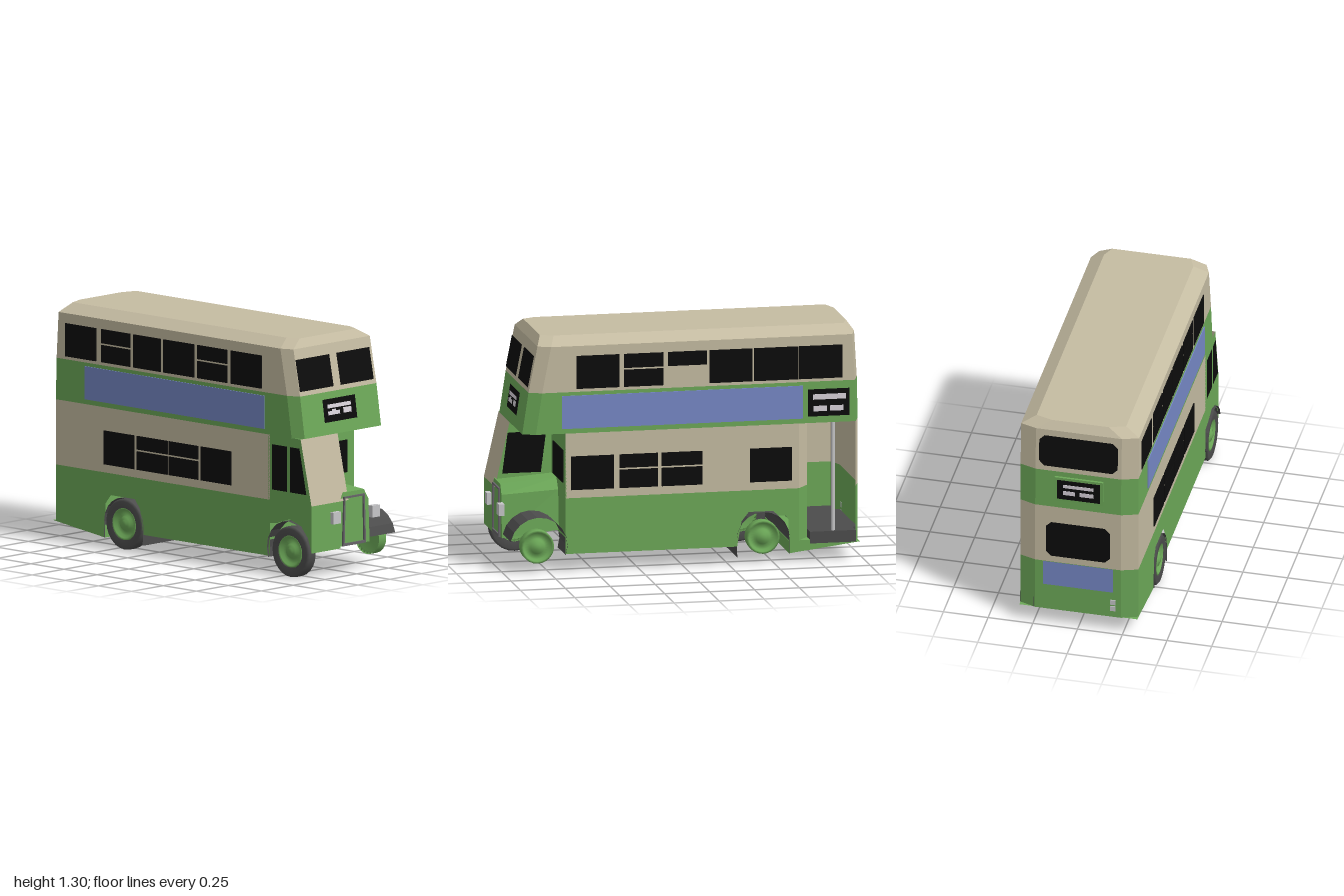
import * as THREE from 'three';

const mat = (name, color) => new THREE.MeshStandardMaterial({ name, color, side: THREE.DoubleSide });

export function createModel() {
  const green = mat('body green', 0x6ca858), cream = mat('cream', 0xc5bca2), blue = mat('advert blue', 0x7688c6),
    black = mat('window black', 0x0c0c0c), dark = mat('rubber grey', 0x4c4c4c), frame = mat('frame grey', 0x666468),
    light = mat('light grey', 0xc6c6c8), white = mat('sign white', 0xd8d2da);
  const bus = new THREE.Group();
  bus.name = 'doubleDeckBus';

  const add = (name, geo, material) => {
    const m = new THREE.Mesh(geo, material);
    m.name = name;
    bus.add(m);
    return m;
  };
  const fromTriangles = (name, pts, material) => {
    const g = new THREE.BufferGeometry();
    g.setAttribute('position', new THREE.Float32BufferAttribute(pts.flat(), 3));
    g.computeVertexNormals();
    return add(name, g, material);
  };
  // Convex flat polygon from 3D corners
  const panel = (name, c, material) => {
    const t = [];
    for (let i = 1; i < c.length - 1; i++) t.push(c[0], c[i], c[i + 1]);
    return fromTriangles(name, t, material);
  };
  // Faceted skin through matching cross-sections
  const loft = (name, rings, material, closed = true) => {
    const t = [];
    for (let r = 0; r < rings.length - 1; r++) {
      const a = rings[r], b = rings[r + 1], n = a.length;
      for (let i = 0; i < (closed ? n : n - 1); i++) {
        const j = (i + 1) % n;
        t.push(a[i], a[j], b[j], a[i], b[j], b[i]);
      }
    }
    return fromTriangles(name, t, material);
  };
  // Flat side panel from [z, y] corners
  const sidePanel = (name, x, pts, material) => {
    const g = new THREE.ShapeGeometry(new THREE.Shape(pts.map(p => new THREE.Vector2(...p))));
    return add(name, g.rotateY(-Math.PI / 2).translate(x, 0, 0), material);
  };
  const box = (name, x0, x1, y0, y1, z0, z1, material) =>
    add(name, new THREE.BoxGeometry(x1 - x0, y1 - y0, z1 - z0)
      .translate((x0 + x1) / 2, (y0 + y1) / 2, (z0 + z1) / 2), material);
  const sidePlate = (name, s, z0, z1, y0, y1, material, lift = 0) =>
    box(name, s * (0.332 + lift) - 0.003, s * (0.332 + lift) + 0.003, y0, y1, z0, z1, material);

  // Upper deck
  const deckRing = (y, w, zf, zb) => [[w, zf - 0.07], [w - 0.03, zf], [0.03 - w, zf], [-w, zf - 0.07],
    [-w, zb + 0.03], [0.09 - w, zb], [w - 0.09, zb], [w, zb + 0.03]].map(([x, z]) => [x, y, z]);
  const r0 = deckRing(0.77, 0.33, 0.895, -0.985), r1 = deckRing(1.0, 0.33, 0.86, -0.98),
    r2 = deckRing(1.255, 0.33, 0.81, -0.965), r3 = deckRing(1.302, 0.25, 0.78, -0.935);
  loft('upperDeckBand', [r0, r1], green);
  panel('upperDeckFloor', r0, green);
  loft('upperDeckWalls', [r1, r2, r3], cream);
  panel('roof', r3, cream);

  // Plates that follow the sloping front and rear
  const frontZ = y => y < 1 ? 0.895 - (y - 0.77) * 0.152 : 0.86 - (y - 1) * 0.196;
  const backZ = y => y < 1 ? -0.985 : -0.98 + (y - 1) * 0.059;
  const frontPlate = (name, x0, x1, y0, y1, material, lift = 0.004) =>
    panel(name, [[x0, y0], [x1, y0], [x1, y1], [x0, y1]].map(([x, y]) => [x, y, frontZ(y) + lift]), material);
  const rearPlate = (name, w, y0, y1, c, material) =>
    panel(name, [[-w + c, y0], [w - c, y0], [w, y0 + c], [w, y1 - c], [w - c, y1], [c - w, y1], [-w, y1 - c], [-w, y0 + c]]
      .map(([x, y]) => [x, y, backZ(y) - 0.004]), material);
  frontPlate('upperFrontWindow', -0.30, -0.035, 1.025, 1.198, black);
  frontPlate('upperFrontWindow', 0.02, 0.28, 1.025, 1.198, black);
  frontPlate('frontSign', -0.135, 0.12, 0.837, 0.962, black);
  [[-0.105, 0.078, 0.912, 0.933], [-0.105, -0.012, 0.875, 0.896], [-0.074, -0.043, 0.896, 0.905], [0.015, 0.078, 0.875, 0.905]]
    .forEach(b => frontPlate('frontSignBar', ...b, white, 0.008));
  rearPlate('upperRearWindow', 0.22, 1.03, 1.22, 0.03, black);
  rearPlate('lowerRearWindow', 0.18, 0.45, 0.67, 0.03, black);
  rearPlate('rearAdvert', 0.195, 0.26, 0.41, 0.001, blue);

  // Rear sign and lamps
  box('rearSignBox', -0.14, 0.13, 0.82, 0.97, -0.994, -0.975, green);
  box('rearSign', -0.125, 0.115, 0.835, 0.955, -0.998, -0.992, black);
  [[-0.09, 0.08, 0.91, 0.93], [-0.09, -0.01, 0.865, 0.89], [0.015, 0.08, 0.865, 0.89]]
    .forEach(([a, b, c, d]) => box('rearSignBar', a, b, c, d, -1.0, -0.996, white));
  for (const y of [0.14, 0.18]) box('rearLamp', -0.21, -0.18, y, y + 0.03, -0.99, -0.984, light);

  // Lower deck sides with wheel arch cut-outs
  const archCut = [[-0.585, 0.1], [-0.58, 0.24], [-0.54, 0.29], [-0.36, 0.29], [-0.32, 0.24], [-0.295, 0.1]];
  for (const [s, zb] of [[-1, -0.955], [1, -0.64]]) {
    sidePanel('lowerSideSkirt', s * 0.33, [[zb, 0.1], ...archCut, [0.66, 0.1], [0.66, 0.41], [zb, 0.41]], green);
    sidePanel('lowerSideWall', s * 0.33, [[zb, 0.41], [0.66, 0.41], [0.66, 0.77], [zb, 0.77]], cream);
  }
  // Rear wall, and the bulkhead beside the open platform
  const rearPlan = [[-0.33, -0.955], [-0.24, -0.985], [0.24, -0.985], [0.33, -0.955]];
  const bulkPlan = [[0.33, -0.64], [0.25, -0.70], [-0.33, -0.70]];
  const atY = (plan, y) => plan.map(([x, z]) => [x, y, z]);
  for (const [name, plan] of [['rearWall', rearPlan], ['platformBulkhead', bulkPlan]]) {
    loft(name + 'Lower', [atY(plan, 0.1), atY(plan, 0.41)], green, false);
    loft(name + 'Upper', [atY(plan, 0.41), atY(plan, 0.77)], cream, false);
  }
  box('platform', -0.328, 0.333, 0.1, 0.165, -0.955, -0.70, dark);
  box('platformRearEdge', -0.23, 0.25, 0.1, 0.165, -0.983, -0.955, dark);
  const wedge = [[-0.585, 0.05], [-0.585, 0.12], [-0.70, 0.12], [-0.98, 0.1]];
  loft('rearUnderside', [-0.329, 0.329].map(x => wedge.map(([z, y]) => [x, y, z])), green);
  for (const x of [-0.329, 0.329]) panel('undersideEnd', wedge.map(([z, y]) => [x, y, z]), green);
  add('platformPole', new THREE.CylinderGeometry(0.011, 0.011, 0.61, 10).translate(0.31, 0.465, -0.832), light);

  // Side windows: [z0, z1, type]; type 1 is split, type 2 is the upper vent only
  const windows = (s, list, y0, ySplit, y1) => list.forEach(([a, b, type]) => {
    if (!type) return sidePlate('sideWindow', s, a, b, y0, y1, black);
    sidePlate('sideWindowVent', s, a, b, ySplit + 0.005, y1, black);
    if (type === 1) sidePlate('sideWindowPane', s, a, b, y0, ySplit - 0.005, black);
  });
  windows(1, [[0.36, 0.60], [0.115, 0.335, 1], [-0.125, 0.09, 2], [-0.38, -0.14], [-0.635, -0.39], [-0.88, -0.64]], 1.017, 1.117, 1.2);
  windows(-1, [[0.37, 0.60], [0.115, 0.34, 1], [-0.14, 0.09], [-0.37, -0.16], [-0.61, -0.39, 1], [-0.88, -0.65]], 1.017, 1.117, 1.2);
  windows(1, [[0.39, 0.63], [0.147, 0.36, 1], [-0.10, 0.125, 1], [-0.60, -0.366]], 0.455, 0.562, 0.642);
  windows(-1, [[0.14, 0.37], [-0.10, 0.12, 1], [-0.34, -0.11, 1], [-0.59, -0.36]], 0.455, 0.562, 0.642);
  sidePlate('sideAdvert', 1, -0.66, 0.68, 0.797, 0.98, blue);
  sidePlate('sideAdvert', -1, -0.735, 0.62, 0.797, 0.98, blue);
  sidePlate('sideSign', 1, -0.92, -0.69, 0.807, 0.957, black);
  [[-0.90, -0.715, 0.9, 0.93], [-0.795, -0.72, 0.835, 0.865], [-0.885, -0.81, 0.835, 0.865]]
    .forEach(b => sidePlate('sideSignBar', 1, ...b, white, 0.002));

  // Front bulkhead beside the half cab
  box('frontBulkhead', -0.33, 0.33, 0.19, 0.77, 0.65, 0.66, green);
  box('bulkheadWindow', 0.01, 0.275, 0.487, 0.667, 0.66, 0.665, black);

  // Half cab
  panel('cabFrontUpper', [[-0.33, 0.41, 0.975], [-0.04, 0.41, 0.975], [-0.04, 0.77, 0.893], [-0.33, 0.77, 0.893]], cream);
  panel('cabFrontLower', [[-0.33, 0.15, 0.975], [-0.1, 0.15, 0.975], [-0.1, 0.41, 0.975], [-0.33, 0.41, 0.975]], green);
  sidePanel('cabInnerSide', -0.04, [[0.66, 0.41], [0.975, 0.41], [0.893, 0.77], [0.66, 0.77]], green);
  sidePanel('cabOuterSide', -0.33, [[0.66, 0.28], [0.72, 0.29], [0.81, 0.32], [0.9, 0.29], [0.96, 0.2], [0.975, 0.15],
    [0.975, 0.41], [0.893, 0.77], [0.66, 0.77]], green);
  sidePanel('cabInnerWindow', -0.036, [[0.72, 0.485], [0.935, 0.485], [0.905, 0.71], [0.69, 0.717]], black);
  sidePanel('cabOuterWindow', -0.334, [[0.68, 0.47], [0.795, 0.47], [0.795, 0.72], [0.68, 0.72]], black);
  sidePanel('cabOuterWindow', -0.334, [[0.815, 0.47], [0.94, 0.47], [0.888, 0.72], [0.815, 0.72]], black);

  // Bonnet, radiator and headlamps
  const nose = [[-0.12, 0.16], [-0.115, 0.4], [-0.075, 0.455], [0.085, 0.455], [0.12, 0.4], [0.13, 0.16]]
    .map(([x, y]) => [x, y, 0.972]);
  const scuttle = [[-0.12, 0.2], [-0.11, 0.43], [-0.04, 0.478], [0.09, 0.478], [0.135, 0.42], [0.155, 0.2]]
    .map(([x, y]) => [x, y, 0.66]);
  loft('bonnet', [scuttle, nose], green);
  panel('bonnetNose', nose, green);
  const trapezoid = (b, t, y0, y1) => [[0.002 - b, y0], [0.002 + b, y0], [0.002 + t, y1], [0.002 - t, y1]]
    .map(p => new THREE.Vector2(...p));
  const surround = new THREE.Shape(trapezoid(0.09, 0.08, 0.16, 0.432));
  surround.holes.push(new THREE.Path(trapezoid(0.078, 0.07, 0.174, 0.422)));
  add('radiatorSurround', new THREE.ExtrudeGeometry(surround, { depth: 0.012, bevelEnabled: false }).translate(0, 0, 0.97), frame);
  for (const s of [-1, 1]) box('headlamp', s * 0.153 - 0.028, s * 0.153 + 0.028, 0.295, 0.36, 0.968, 1.0, light);

  // Mudguards as curved strips across the wheels
  const arc = (cz, cy, r, a0, a1) => Array.from({ length: 11 }, (_, i) => {
    const a = THREE.MathUtils.degToRad(a0 + (a1 - a0) * i / 10);
    return [cz + r * Math.cos(a), cy + r * Math.sin(a)];
  });
  const strip = (name, path, x0, x1) =>
    loft(name, [x0, x1].map(x => path.map(([z, y]) => [x, y, z])), dark, false);
  const frontArc = arc(0.81, 0.15, 0.16, 12, 200);
  strip('rearMudguard', [[-0.295, 0.04], ...arc(-0.44, 0.14, 0.147, 0, 180), [-0.587, 0.05]], -0.335, 0.335);
  strip('frontMudguard', frontArc, -0.342, -0.265);
  strip('frontMudguard', frontArc, 0.12, 0.337);
  panel('mudguardInnerPlate', arc(0.81, 0.15, 0.16, 30, 150).map(([z, y]) => [0.12, y, z]), dark);

  // Wheels: ribbed hubs on both sides, tyres on the cab side
  const lathe = pts => new THREE.LatheGeometry(pts.map(p => new THREE.Vector2(...p)), 24);
  const tyre = [[0.09, -0.03], [0.128, -0.035], [0.14, -0.024], [0.14, 0.024], [0.128, 0.035], [0.09, 0.03]];
  const hub = [[0, -0.012], [0.08, -0.012], [0.092, -0.028], [0.092, 0.028], [0.08, 0.03], [0.07, 0.012],
    [0.045, 0.012], [0.038, 0.026], [0.022, 0.026], [0.018, 0.034], [0, 0.034]];
  for (const z of [0.815, -0.44]) for (const s of [-1, 1]) {
    const place = g => g.rotateZ(-s * Math.PI / 2).translate(s * 0.3, 0.145, z);
    add('wheelHub', place(lathe(hub)), green);
    if (s < 0) add('tyre', place(lathe(tyre)).translate(0, -0.005, 0), dark);
  }
  return bus;
}
